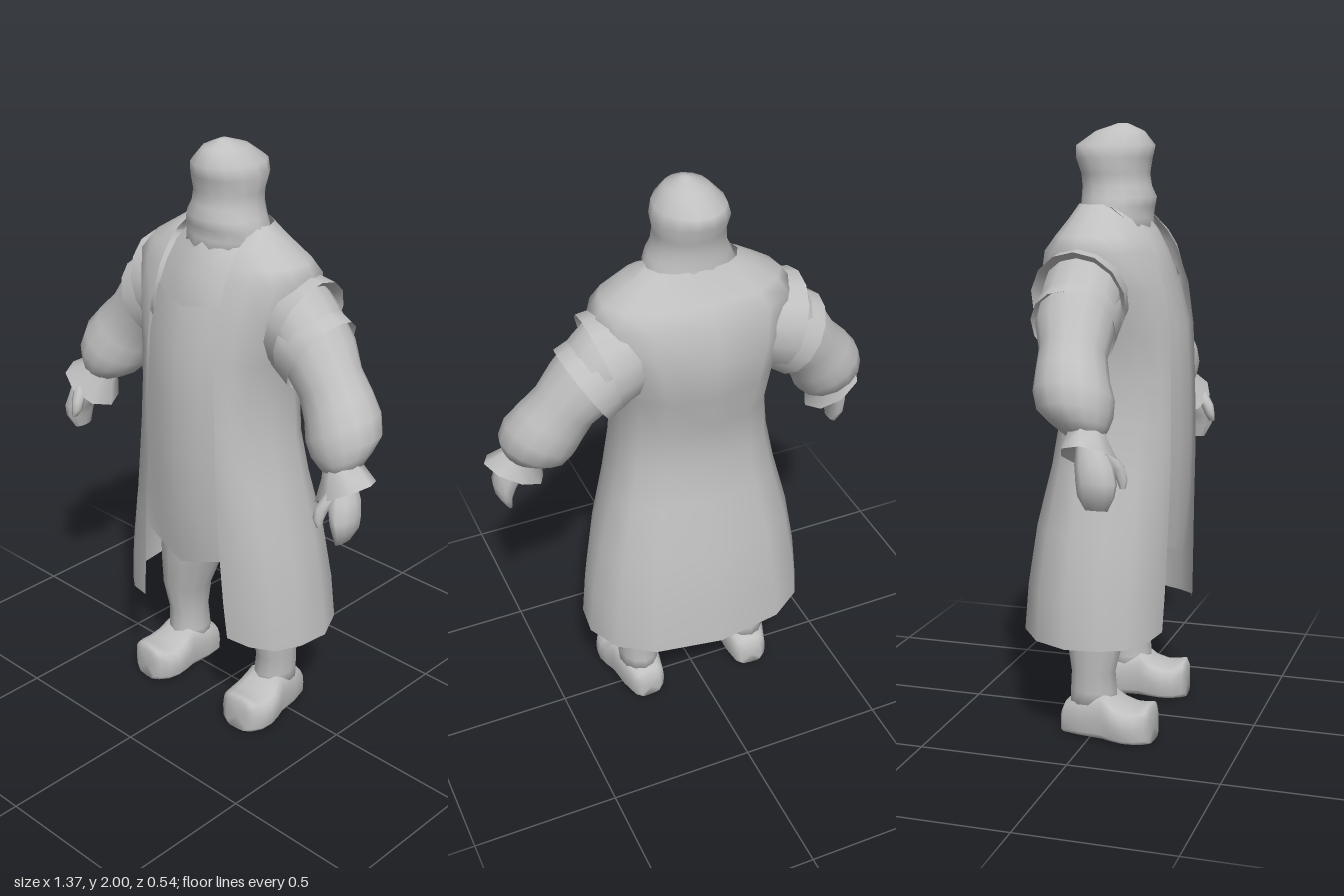
import * as THREE from 'three';

const grey = new THREE.MeshStandardMaterial({ color: 0xc0c0c0, side: THREE.DoubleSide });
grey.name = 'plain grey';

// Skin a list of equal-length rings of points; closed rings wrap around and may be capped.
function loft(name, rings, closed = true, caps = closed) {
  const n = rings[0].length, pos = rings.flat(2), index = [];
  for (let i = 0; i < rings.length - 1; i++) {
    for (let j = 0; j < (closed ? n : n - 1); j++) {
      const k = (j + 1) % n;
      const a = i * n + j, b = i * n + k, c = a + n, d = b + n;
      index.push(a, b, c, b, d, c);
    }
  }
  if (caps) {
    for (const [i, first] of [[0, true], [rings.length - 1, false]]) {
      const centre = [0, 1, 2].map(q => rings[i].reduce((s, p) => s + p[q], 0) / n);
      const m = pos.length / 3;
      pos.push(...centre);
      for (let j = 0; j < n; j++) {
        const a = i * n + j, b = i * n + (j + 1) % n;
        first ? index.push(m, b, a) : index.push(m, a, b);
      }
    }
  }
  const geo = new THREE.BufferGeometry();
  geo.setAttribute('position', new THREE.Float32BufferAttribute(pos, 3));
  geo.setIndex(index);
  geo.computeVertexNormals();
  const mesh = new THREE.Mesh(geo, grey);
  mesh.name = name;
  return mesh;
}

// Oval tube; rows are [x, y, z, radius in the xy plane, radius along z].
function tube(name, rows, { sides = 12, straight = false, caps = true } = {}) {
  const last = rows.length - 1;
  const rings = rows.map(([x, y, z, ru, rz], i) => {
    const p = rows[straight ? 0 : Math.max(i - 1, 0)];
    const q = rows[straight ? last : Math.min(i + 1, last)];
    const len = Math.hypot(q[0] - p[0], q[1] - p[1]);
    const tx = (q[0] - p[0]) / len, ty = (q[1] - p[1]) / len;
    return Array.from({ length: sides }, (_, j) => {
      const a = j / sides * Math.PI * 2, u = ru * Math.cos(a);
      return [x - ty * u, y + tx * u, z + rz * Math.sin(a)];
    });
  });
  return loft(name, rings, true, caps);
}

// Flared cloth ring with a crisp rim: the rim row is doubled, then folded back inside.
function flare(name, rows, fold, sides) {
  return tube(name, [...rows, rows[rows.length - 1], fold], { straight: true, caps: false, sides });
}

// Shoe: flat-soled, rounded sections from heel to upturned toe, [z, half width, height].
function makeShoe() {
  const rows = [[-0.105, 0.04, 0.08], [-0.09, 0.06, 0.11], [-0.03, 0.075, 0.14], [0.05, 0.08, 0.165],
    [0.09, 0.09, 0.13], [0.13, 0.096, 0.115], [0.17, 0.09, 0.118], [0.2, 0.07, 0.127], [0.212, 0.045, 0.11]];
  const soft = (v, power) => Math.sign(v) * Math.abs(v) ** power;
  const shoe = loft('shoe', rows.map(([z, w, h]) => Array.from({ length: 16 }, (_, j) => {
    const a = j / 16 * Math.PI * 2, power = Math.sin(a) < 0 ? 0.4 : 0.72;
    return [w * soft(Math.cos(a), power), h * (0.5 + 0.5 * soft(Math.sin(a), power)), z];
  })));
  shoe.position.x = 0.21;
  shoe.rotation.y = 0.08;
  return shoe;
}

// One arm and one leg, made for the +x side.
function makeLimbs(side) {
  const limbs = new THREE.Group();
  limbs.name = side + 'Limbs';
  limbs.add(
    flare('shoulderCape', [[0.16, 1.5, -0.015, 0.13, 0.12], [0.235, 1.477, -0.015, 0.152, 0.148],
      [0.318, 1.45, -0.015, 0.168, 0.155]], [0.28, 1.462, -0.015, 0.12, 0.125], 14),
    flare('upperCuff', [[0.25, 1.45, -0.012, 0.125, 0.125], [0.31, 1.414, -0.012, 0.14, 0.135],
      [0.375, 1.375, -0.012, 0.146, 0.138]], [0.33, 1.402, -0.012, 0.11, 0.11], 14),
    tube('sleeve', [[0.22, 1.55, -0.015, 0.11, 0.12], [0.30, 1.46, -0.012, 0.12, 0.128], [0.375, 1.375, -0.008, 0.118, 0.125],
      [0.43, 1.305, 0.005, 0.108, 0.107], [0.475, 1.245, 0.018, 0.118, 0.115], [0.51, 1.19, 0.033, 0.126, 0.126],
      [0.535, 1.14, 0.045, 0.117, 0.117], [0.55, 1.105, 0.065, 0.088, 0.088], [0.565, 1.075, 0.085, 0.055, 0.055]],
    { sides: 14 }),
    flare('wristCuff', [[0.54, 1.11, 0.075, 0.06, 0.06], [0.558, 1.075, 0.09, 0.072, 0.064],
      [0.585, 1.02, 0.105, 0.112, 0.088]], [0.57, 1.055, 0.1, 0.03, 0.03], 8),
    tube('hand', [[0.575, 1.07, 0.105, 0.034, 0.04], [0.598, 1.0, 0.125, 0.046, 0.06], [0.615, 0.95, 0.137, 0.038, 0.064],
      [0.62, 0.91, 0.137, 0.027, 0.058], [0.608, 0.865, 0.135, 0.012, 0.036]], { straight: true, sides: 10 }),
    tube('thumb', [[0.585, 1.04, 0.155, 0.02, 0.024], [0.565, 0.99, 0.188, 0.022, 0.024],
      [0.56, 0.955, 0.2, 0.018, 0.018], [0.568, 0.93, 0.205, 0.009, 0.01]], { straight: true, sides: 8 }),
    tube('trouserLeg', [[0.13, 0.88, 0, 0.13, 0.14], [0.165, 0.62, 0, 0.122, 0.14], [0.195, 0.45, 0, 0.105, 0.118],
      [0.215, 0.33, 0.005, 0.08, 0.097], [0.216, 0.22, 0, 0.068, 0.075], [0.212, 0.15, 0, 0.07, 0.08],
      [0.21, 0.09, 0, 0.07, 0.08]], { straight: true }),
    makeShoe());
  return limbs;
}

// Open coat: rows of [y, lapel x, lapel z, half width, back z], bottom to top.
function makeCoat() {
  const rows = [[0.345, 0.2, 0.23, 0.4, -0.272], [0.5, 0.187, 0.235, 0.385, -0.26], [0.7, 0.173, 0.24, 0.35, -0.23],
    [0.9, 0.165, 0.245, 0.298, -0.18], [1.05, 0.16, 0.245, 0.268, -0.155], [1.2, 0.155, 0.242, 0.255, -0.165],
    [1.34, 0.148, 0.238, 0.27, -0.21], [1.48, 0.145, 0.22, 0.31, -0.222], [1.6, 0.142, 0.178, 0.335, -0.195],
    [1.65, 0.14, 0.148, 0.3, -0.158], [1.7, 0.136, 0.105, 0.22, -0.125], [1.745, 0.128, 0.03, 0.152, -0.1]];
  return loft('coat', rows.map(([y, e, zf, w, zb], i) => {
    const hem = i === 0 ? 0.022 : 0;
    const half = [[e, y + hem, zf], [e + (w - e) * 0.4, y + hem / 2, zf * 0.9], [w * 0.87, y, zf * 0.66],
      [w * 0.97, y, zf * 0.3], [w, y, zb * 0.15], [w * 0.86, y, zb * 0.57], [w * 0.58, y, zb * 0.86]];
    const mirrored = half.map(([x, py, z]) => [-x, py, z]).reverse();
    return [...half, [0, y, zb], ...mirrored];
  }), false);
}

// Curved front sheet: rows of [y, half width, edge z, centre z, drop of the centre], bottom to top.
function frontSheet(name, rows) {
  return loft(name, rows.map(([y, w, ze, zc, drop]) => [-1, -0.5, 0, 0.5, 1].map(s => {
    const k = 1 - Math.abs(s);
    return [s * w, y - drop * k, ze + (zc - ze) * Math.sqrt(k)];
  })), false);
}

export function createModel() {
  const model = new THREE.Group();
  model.name = 'robedFigure';

  // Head with beard, flaring into the neck
  model.add(tube('head', [[0, 2.0, 0.035, 0.012, 0.015], [0, 1.975, 0.025, 0.07, 0.08], [0, 1.93, 0.01, 0.113, 0.13],
    [0, 1.89, 0.005, 0.125, 0.125], [0, 1.84, 0.01, 0.115, 0.112], [0, 1.8, 0.015, 0.119, 0.113],
    [0, 1.765, 0.022, 0.133, 0.122], [0, 1.735, 0.018, 0.147, 0.12], [0, 1.7, 0.012, 0.15, 0.12],
    [0, 1.62, 0.0, 0.15, 0.15]], { straight: true, sides: 14 }));

  // Hips under the coat
  model.add(tube('hips', [[0, 1.05, 0, 0.2, 0.13], [0, 0.8, 0, 0.22, 0.14], [0, 0.66, 0, 0.08, 0.1]], { straight: true }));

  // Coat, chest and the long panel with pointed ends
  model.add(makeCoat(),
    frontSheet('chest', [[1.45, 0.165, 0.19, 0.214, 0], [1.53, 0.16, 0.165, 0.203, 0], [1.6, 0.155, 0.135, 0.178, 0],
      [1.66, 0.15, 0.095, 0.15, 0], [1.7, 0.14, 0.05, 0.125, 0]]),
    frontSheet('frontPanel', [[0.65, 0.176, 0.222, 0.243, 0.06], [0.8, 0.183, 0.222, 0.26, 0.03],
      [1.0, 0.176, 0.222, 0.268, 0.03], [1.2, 0.17, 0.217, 0.265, 0.03], [1.38, 0.163, 0.208, 0.254, 0.03],
      [1.53, 0.155, 0.174, 0.218, 0.03]]));

  // Mirrored arms and legs
  const left = makeLimbs('left'), right = makeLimbs('right');
  right.scale.x = -1;
  model.add(left, right);
  return model;
}
